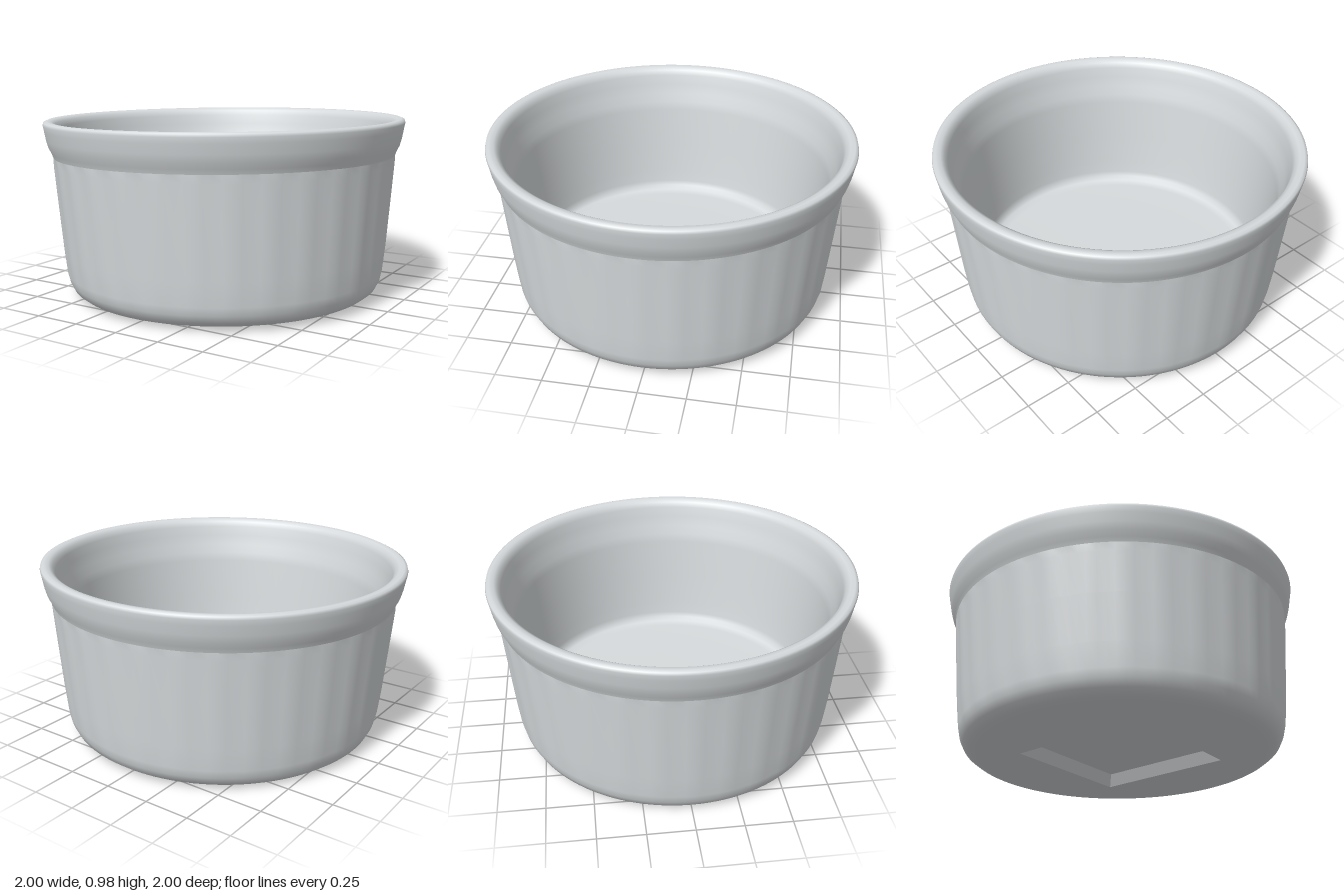
import * as THREE from 'three';
import { mergeVertices } from 'three/addons/utils/BufferGeometryUtils.js';

const SEGMENTS = 128;
const BASE_RADIUS = 0.79;

// Smooth lathe without a seam, with its radius changed by a rule
function turned(points, rule) {
  const profile = points.map(([r, y]) => new THREE.Vector2(r, y));
  let geo = new THREE.LatheGeometry(profile, SEGMENTS);
  geo.deleteAttribute('uv');
  geo.deleteAttribute('normal');
  const p = geo.attributes.position;
  for (let i = 0; i < p.count; i++) {
    const k = rule(Math.atan2(p.getX(i), p.getZ(i)), p.getY(i));
    p.setX(i, p.getX(i) * k);
    p.setZ(i, p.getZ(i) * k);
  }
  geo = mergeVertices(geo, 1e-4);
  geo.computeVertexNormals();
  return geo;
}

export function createModel() {
  const ceramic = new THREE.MeshStandardMaterial({ color: 0xd6dadc, side: THREE.DoubleSide });
  ceramic.name = 'pale grey ceramic';
  const dish = new THREE.Group();
  dish.name = 'dish';
  const add = (name, geo) => {
    const mesh = new THREE.Mesh(geo, ceramic);
    mesh.name = name;
    dish.add(mesh);
  };

  // Fluted outer wall, ending under the rim band
  const outer = [
    [BASE_RADIUS, 0], [0.83, 0.01], [0.862, 0.035], [0.882, 0.075], [0.893, 0.12],
    [0.906, 0.25], [0.927, 0.5], [0.945, 0.72], [0.948, 0.765],
  ];
  add('flutedWall', turned(outer, (a, y) => {
    const fade = THREE.MathUtils.smoothstep(y, 0.06, 0.2) * (1 - THREE.MathUtils.smoothstep(y, 0.72, 0.765));
    return 1 + fade * 0.004 * (Math.cos(32 * a) - 0.3);
  }));

  // Rim band, rounded lip, inner wall and floor in one smooth sweep
  const inner = [
    [0.948, 0.765], [0.957, 0.79], [0.972, 0.82], [0.983, 0.86], [0.992, 0.91], [0.998, 0.94],
    [0.994, 0.955], [0.978, 0.962], [0.952, 0.958], [0.931, 0.944], [0.919, 0.915],
    [0.907, 0.86], [0.892, 0.8], [0.875, 0.75], [0.865, 0.7], [0.84, 0.48],
    [0.812, 0.28], [0.802, 0.21], [0.795, 0.18], [0.775, 0.158], [0.73, 0.148], [0.4, 0.146], [0, 0.146],
  ];
  add('rimAndInterior', turned(inner, () => 1));

  // Underside with a square opening, turned off the main axes
  const start = 0.5 + Math.PI / 4;
  const half = 0.555, deepHalf = 0.505, depth = 0.065;
  const corners = (r) => [0, 1, 2, 3].map((i) => {
    const a = start + i * Math.PI / 2;
    return new THREE.Vector2(r * Math.sin(a), r * Math.cos(a));
  });
  const disc = new THREE.Shape().absarc(0, 0, BASE_RADIUS, 0, Math.PI * 2, false);
  disc.holes.push(new THREE.Path(corners(half)));
  add('underside', new THREE.ShapeGeometry(disc, SEGMENTS / 2).rotateX(Math.PI / 2));

  // Sloped recess in the underside
  const walls = new THREE.CylinderGeometry(deepHalf, half, depth, 4, 1, true, start).toNonIndexed();
  walls.computeVertexNormals();
  add('recessWalls', walls.translate(0, depth / 2, 0));
  add('recessTop', new THREE.ShapeGeometry(new THREE.Shape(corners(deepHalf))).rotateX(Math.PI / 2).translate(0, depth, 0));

  // The dish sits with a very slight lean
  dish.rotation.set(-0.002, 0, 0.011);
  dish.position.set(0.01, 0.011, 0.002);
  const model = new THREE.Group();
  model.name = 'ramekin';
  model.add(dish);
  return model;
}
